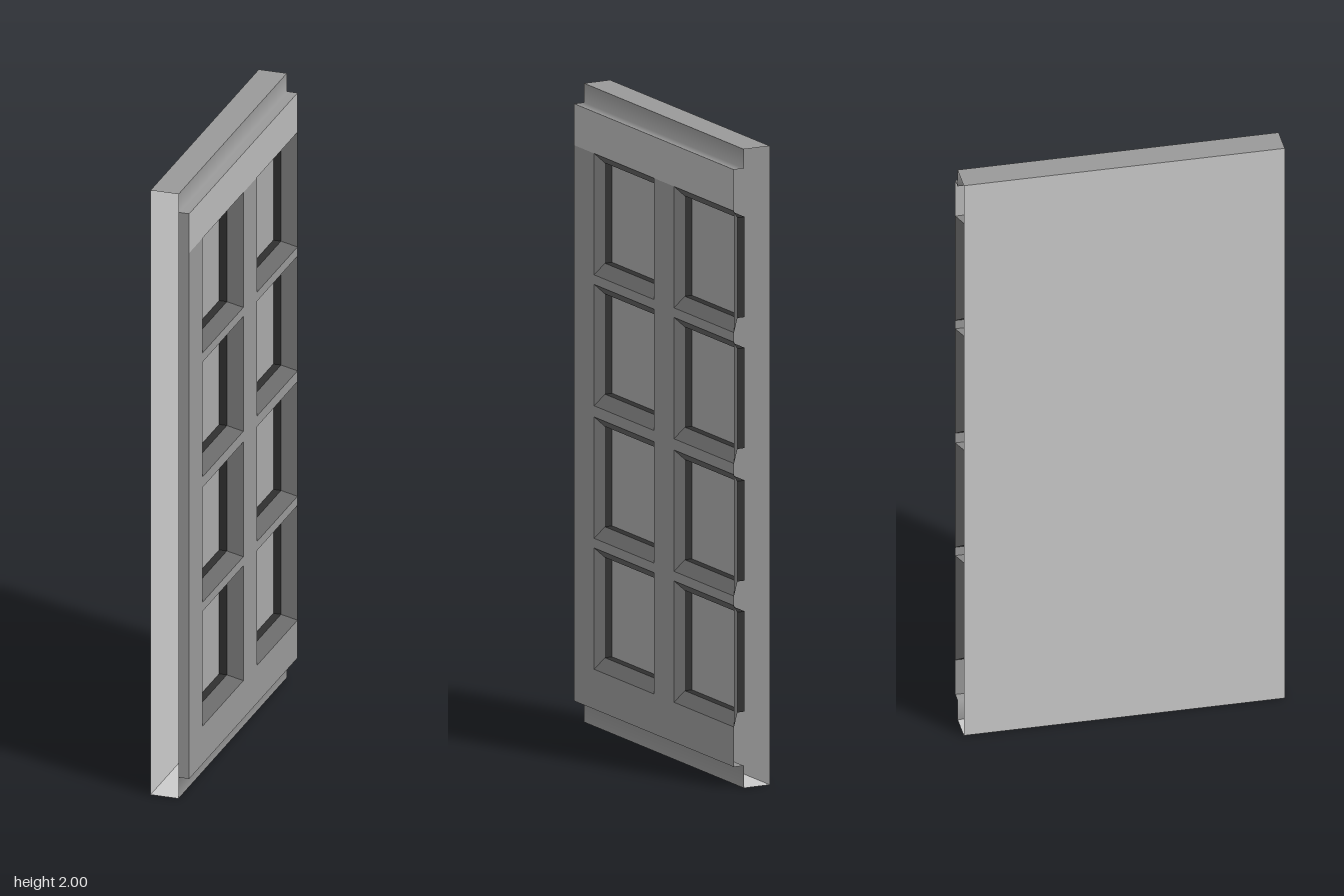
import * as THREE from 'three';
import { mergeVertices } from 'three/addons/utils/BufferGeometryUtils.js';

const BACK = -0.0625, LIP = 0.028, FACE = 0.0625;
const material = color => new THREE.MeshStandardMaterial({ color, side: THREE.DoubleSide });
const sheet = material(0xcccccc), topRail = material(0xbbbbbb), pane = material(0xaaaaaa);
const frame = material(0x999999), slope = material(0x686868), recess = material(0x303030);

// Point from depth x, distance u across the face (u = -z) and height y
const P = (x, u, y) => [x, y, -u];

// Mesh from a list of four-cornered faces, optionally with smooth joints
function quads(name, mat, faces, smooth = false) {
  const pos = [];
  for (const [a, b, c, d] of faces) pos.push(...a, ...b, ...c, ...a, ...c, ...d);
  let geo = new THREE.BufferGeometry();
  geo.setAttribute('position', new THREE.Float32BufferAttribute(pos, 3));
  if (smooth) geo = mergeVertices(geo);
  geo.computeVertexNormals();
  const mesh = new THREE.Mesh(geo, mat);
  mesh.name = name;
  return mesh;
}

// Four corners of a rectangle facing +x
const rect = (x, u0, u1, y0, y1) => [P(x, u0, y0), P(x, u1, y0), P(x, u1, y1), P(x, u0, y1)];
// Walls joining an outer rectangle to an inner one
const walls = (o, i) => [0, 1, 2, 3].map(k => [o[k], o[(k + 1) % 4], i[(k + 1) % 4], i[k]]);
// Level strip between two depths, facing up or down
const ledge = (x0, x1, y, up) => {
  const f = [P(x0, -0.5, y), P(x1, -0.5, y), P(x1, 0.5, y), P(x0, 0.5, y)];
  return up ? f : f.reverse();
};

export function createModel() {
  const group = new THREE.Group();
  const bottom = 0.07, top = 1.94;
  const columns = [-0.375, 0.125], width = 0.375;
  const rows = [[0.195, 0.575], [0.605, 0.985], [1.02, 1.4], [1.43, 1.81]];
  const railTop = rows[3][1];

  // Back sheet with top and bottom edges; both ends stay open
  group.add(quads('backSheet', sheet, [rect(BACK, -0.5, 0.5, 0, 2).reverse()]));
  group.add(quads('topEdge', frame, [ledge(BACK, LIP, 2, true)]));
  group.add(quads('bottomEdge', sheet, [ledge(BACK, LIP, 0, false)]));

  // Recessed lips above and below, blending softly into the frame's edges
  group.add(quads('bottomLip', frame, [rect(LIP, -0.5, 0.5, 0, bottom), ledge(LIP, FACE, bottom, false)], true));
  group.add(quads('topLip', frame, [rect(LIP, -0.5, 0.5, top, 2), ledge(LIP, FACE, top, true)], true));

  // Raised frame: top rail, stiles, and rails between the recesses
  group.add(quads('topRail', topRail, [rect(FACE, -0.5, 0.5, railTop, top)]));
  const gaps = [bottom, ...rows.flat()];
  for (const u of columns) {
    group.add(quads('stile', frame, [rect(FACE, u - 0.125, u, bottom, railTop)]));
    for (let i = 0; i < gaps.length - 1; i += 2)
      group.add(quads('rail', frame, [rect(FACE, u, u + width, gaps[i], gaps[i + 1])]));
  }

  // Thin return on the end of the outer stile
  group.add(quads('stileEnd', frame, [[
    P(LIP, -0.5, bottom), P(FACE, -0.5, bottom), P(FACE, -0.5, top), P(LIP, -0.5, top),
  ]]));

  // Recessed panels: sloped on three sides, then a straight drop to the pane
  for (const u of columns) for (const [y0, y1] of rows) {
    const inner = [u, u + width - 0.045, y0 + 0.032, y1 - 0.034];
    const opening = rect(FACE, u, u + width, y0, y1);
    const step = rect(0.025, ...inner), floor = rect(0, ...inner);
    group.add(quads('recessSlope', slope, walls(opening, step)));
    group.add(quads('recessWall', recess, walls(step, floor)));
    group.add(quads('pane', pane, [floor]));
  }
  return group;
}
